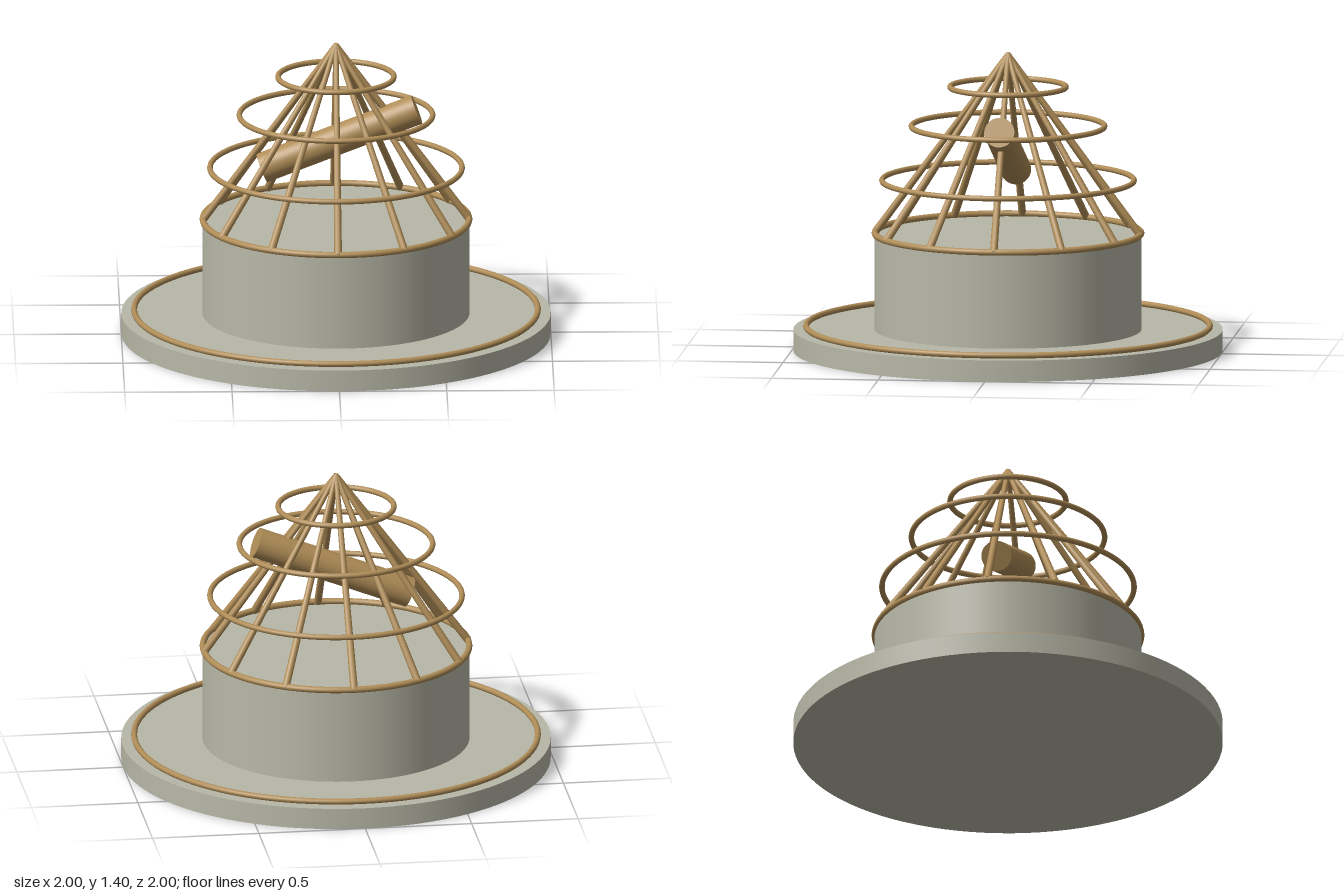
import * as THREE from 'three';

export function createModel() {
  const model = new THREE.Group();
  const stone = new THREE.MeshStandardMaterial({ color: 0xb8b8a8 });
  stone.name = 'pale stone';
  const bronze = new THREE.MeshStandardMaterial({ color: 0xb08d57 });
  bronze.name = 'bronze';

  const add = (name, geometry, material) => {
    const mesh = new THREE.Mesh(geometry, material);
    mesh.name = name;
    model.add(mesh);
    return mesh;
  };

  // Upright cylinder from y0 to y1
  const drum = (name, radius, y0, y1) => {
    add(name, new THREE.CylinderGeometry(radius, radius, y1 - y0, 96), stone).position.y = (y0 + y1) / 2;
  };

  // Horizontal hoop
  const hoop = (name, radius, tube, y) => {
    const geometry = new THREE.TorusGeometry(radius, tube, 12, 96).rotateX(Math.PI / 2);
    add(name, geometry, bronze).position.y = y;
  };

  // Round bar between two points, with a radius at each end
  const bar = (name, a, b, ra, rb, sides) => {
    const axis = b.clone().sub(a);
    const mesh = add(name, new THREE.CylinderGeometry(rb, ra, axis.length(), sides), bronze);
    mesh.position.copy(a).add(b).multiplyScalar(0.5);
    mesh.quaternion.setFromUnitVectors(new THREE.Vector3(0, 1, 0), axis.normalize());
  };

  // Base and drum
  drum('base', 1, 0, 0.1);
  drum('drum', 0.622, 0.1, 0.54);
  hoop('baseTrim', 0.94, 0.014, 0.115);

  // Conical cage: hoops and ribs meeting at the apex
  hoop('drumRim', 0.62, 0.015, 0.552);
  [[0.587, 0.8], [0.45, 1.055], [0.27, 1.24]].forEach(([r, y], i) => hoop('cageHoop' + (i + 1), r, 0.013, y));
  const apex = new THREE.Vector3(0, 1.395, 0);
  for (let i = 0; i < 12; i++) {
    const t = (i / 12) * Math.PI * 2;
    const foot = new THREE.Vector3(0.62 * Math.cos(t), 0.55, 0.62 * Math.sin(t));
    bar('cageRib' + (i + 1), foot, apex, 0.018, 0.012, 12);
  }

  // Tilted tube inside the cage
  bar('tiltedTube', new THREE.Vector3(-0.345, 0.8, 0), new THREE.Vector3(0.376, 1.08, 0), 0.071, 0.071, 40);

  return model;
}
